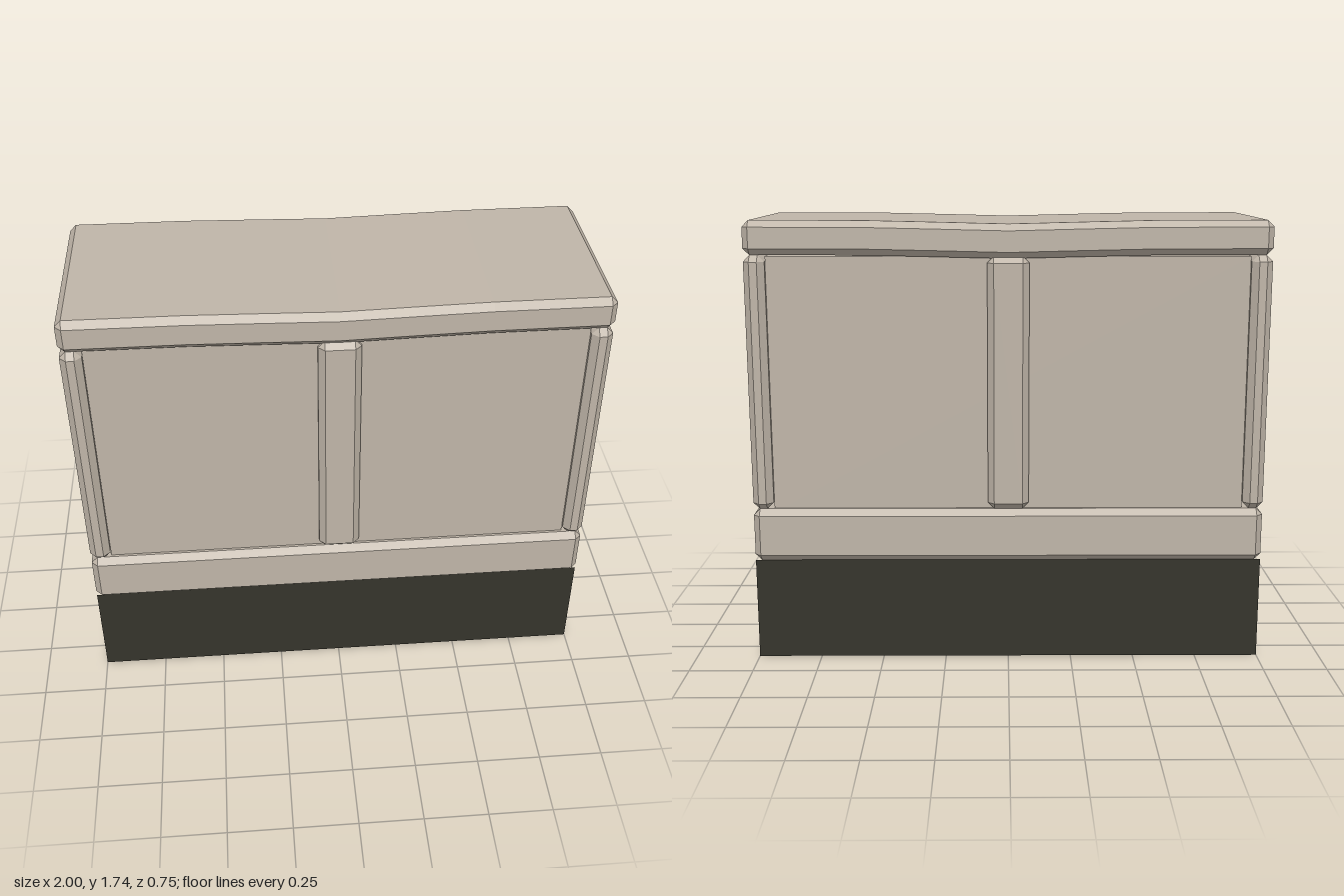
import * as THREE from 'three';

// Chamfered bar lofted along x. Each station is [x, inset?, yOffset].
// Ends are open unless capped; skipFloor leaves out the underside.
function chamferBar(stations, y0, y1, d, b, { capStart = false, capEnd = false, skipFloor = false } = {}) {
  const e = d - b;
  const outline = [
    [y0, e], [y0, -e], [y0 + b, -d], [y1 - b, -d],
    [y1, -e], [y1, e], [y1 - b, d], [y0 + b, d],
  ];
  const rings = stations.map(([x, inset, dy = 0]) => outline.map(([y, z]) => {
    const yy = inset ? THREE.MathUtils.clamp(y, y0 + b, y1 - b) : y;
    const zz = inset ? THREE.MathUtils.clamp(z, -e, e) : z;
    return new THREE.Vector3(x, yy + dy, zz);
  }));
  const pts = [];
  const tri = (p, q, r) => {
    const area = q.clone().sub(p).cross(r.clone().sub(p)).length();
    if (area > 1e-9) pts.push(p, q, r);
  };
  for (let s = 0; s < rings.length - 1; s++) {
    const A = rings[s], B = rings[s + 1];
    for (let i = skipFloor ? 1 : 0; i < 8; i++) {
      const j = (i + 1) % 8;
      tri(A[i], A[j], B[j]);
      tri(A[i], B[j], B[i]);
    }
  }
  const first = rings[0], last = rings[rings.length - 1];
  for (let i = 1; i < 7; i++) {
    if (capStart) tri(first[0], first[i + 1], first[i]);
    if (capEnd) tri(last[0], last[i], last[i + 1]);
  }
  const g = new THREE.BufferGeometry().setFromPoints(pts);
  g.computeVertexNormals();
  return g;
}

export function createModel() {
  const group = new THREE.Group();
  const stone = new THREE.MeshStandardMaterial({ color: 0xbfb5a8, side: THREE.DoubleSide, flatShading: true });
  stone.name = 'paleStone';
  const dark = new THREE.MeshStandardMaterial({ color: 0x35342b, side: THREE.DoubleSide, flatShading: true });
  dark.name = 'darkFoundation';

  const add = (name, geometry, material) => {
    const mesh = new THREE.Mesh(geometry, material);
    mesh.name = name;
    group.add(mesh);
    return mesh;
  };
  const D = 0.375, B = 0.025;

  // Foundation: a trough with underside, front and back only
  const baseGeo = new THREE.BoxGeometry(2, 0.405, 0.7);
  baseGeo.setIndex(Array.from(baseGeo.index.array).slice(18));
  baseGeo.clearGroups();
  add('foundation', baseGeo, dark).position.y = 0.2025;

  // Plinth band, open at the ends and below
  add('plinth', chamferBar([[-1, true], [-0.975], [0.975], [1, true]], 0.405, 0.615, D, B, { skipFloor: true }), stone);

  // Recessed wall faces between the pillars
  const wall = add('wall', new THREE.BoxGeometry(1.838, 1.0, 0.68), stone);
  wall.position.y = 1.1;

  // Middle pillar
  add('middlePillar', chamferBar(
    [[-0.08, true], [-0.055], [0.055], [0.08, true]], 0.615, 1.6, D, B,
    { capStart: true, capEnd: true }), stone);

  // End pillars, hollow towards the outside
  const endGeo = chamferBar([[0.92, true], [0.945], [0.975], [1, true]], 0.615, 1.605, D, B, { capStart: true });
  add('leftEndPillar', endGeo, stone);
  add('rightEndPillar', endGeo, stone).rotation.y = Math.PI;

  // Coping with a slight sag in the middle, open at the ends
  const sag = [[0.55, -0.001], [0.28, -0.007], [0, -0.014]];
  const left = sag.map(([x, dy]) => [-x, false, dy]);
  const right = sag.slice(0, 2).reverse().map(([x, dy]) => [x, false, dy]);
  add('coping', chamferBar(
    [[-1, true], [-0.975], ...left, ...right, [0.975], [1, true]], 1.605, 1.735, D, B), stone);

  return group;
}
